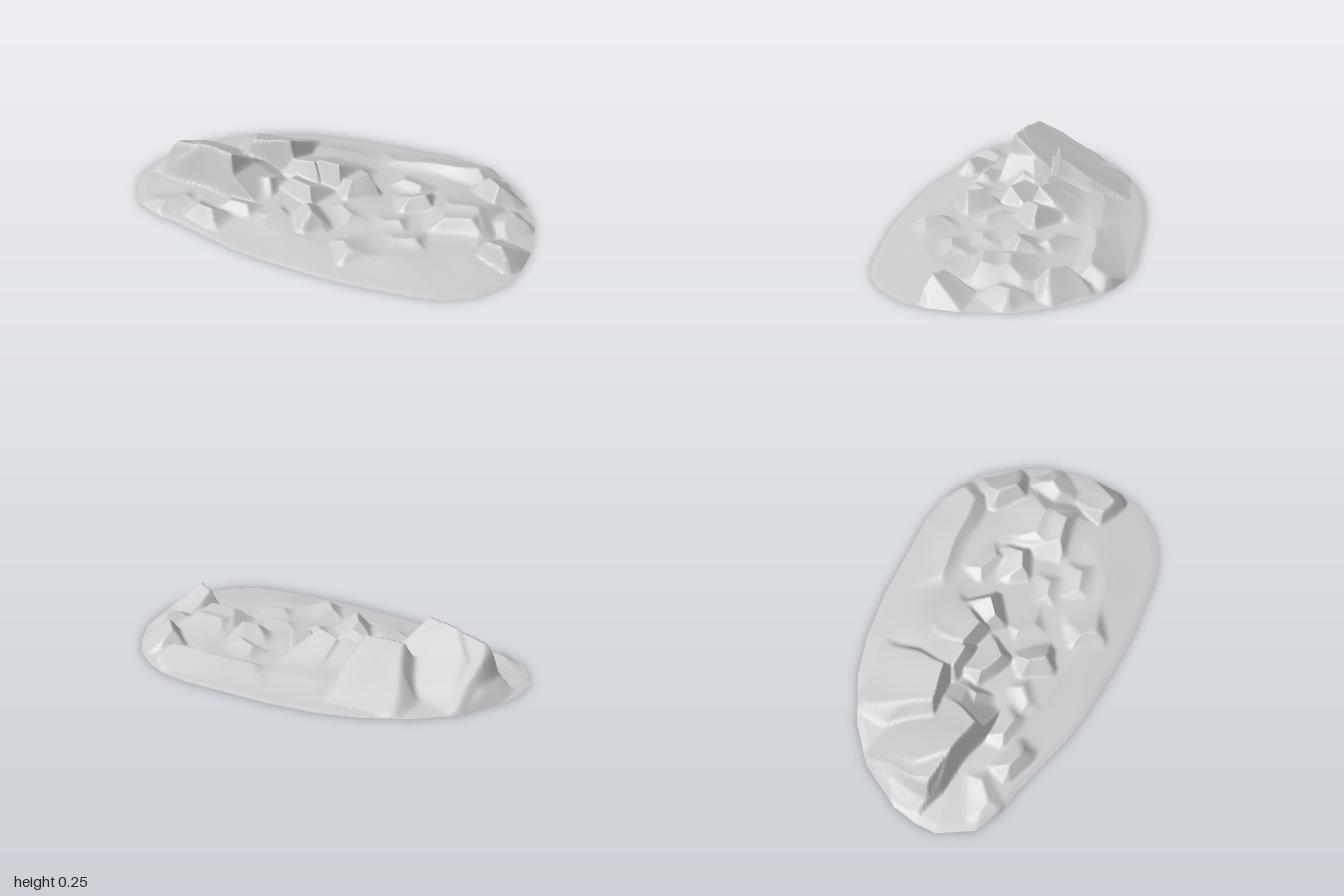
import * as THREE from 'three';

// Rim of the ground patch, as [x, z]
const RIM = [
  [1, 0.1], [0.99, 0.25], [0.955, 0.36], [0.85, 0.49], [0.73, 0.56], [0.6, 0.585], [0.3, 0.6],
  [0.14, 0.595], [-0.15, 0.565], [-0.3, 0.54], [-0.64, 0.43], [-0.78, 0.4], [-0.91, 0.33], [-1, 0.17],
  [-1, 0.06], [-0.975, -0.06], [-0.85, -0.28], [-0.68, -0.42], [-0.47, -0.525], [-0.27, -0.58],
  [-0.03, -0.605], [0.42, -0.605], [0.56, -0.58], [0.67, -0.53], [0.8, -0.43], [0.89, -0.3],
  [0.965, -0.15], [0.99, 0],
];

// Tilted slabs: crest from a to b as [x, z, height], steep front run, long back run, end runs
const SLABS = [
  { a: [-0.83, 0.05, 0.205], b: [-0.6, 0.105, 0.245], front: 0.045, back: 0.37, ends: [0.07, 0.3] },
  { a: [-0.65, 0.095, 0.24], b: [-0.49, 0.125, 0.25], front: 0.045, back: 0.37, ends: [0.3, 0.06] },
  { a: [-0.46, -0.11, 0.2], b: [-0.28, -0.13, 0.212], front: 0.05, back: 0.38, ends: [0.12, 0.04] },
  { a: [0.18, -0.39, 0.055], b: [0.6, -0.42, 0.08], front: 0.09, back: 0.16, ends: [0.14, 0.1] },
  { a: [0.58, 0.07, 0.09], b: [0.69, 0.06, 0.1], front: 0.07, back: 0.4, ends: [0.12, 0.12] },
  { a: [0.58, -0.06, 0.085], b: [0.7, -0.06, 0.095], front: 0.28, back: 0.2, ends: [0.12, 0.12] },
  { a: [0.82, 0.2, 0.1], b: [0.89, 0.23, 0.115], front: 0.04, back: 0.18, ends: [0.05, 0.08] },
  { a: [-0.07, 0.21, 0.11], b: [-0.02, 0.28, 0.12], front: 0.09, back: 0.12, ends: [0.1, 0.06] },
];

// Smaller stones: [x, z, crest length, height, front run, back run]
const STONES = [
  [-0.2, -0.1, 0.1, 0.145, 0.07, 0.32], [-0.07, -0.1, 0.1, 0.165, 0.06, 0.3],
  [0.1, -0.07, 0.06, 0.135, 0.09, 0.26], [-0.16, 0.05, 0.12, 0.12, 0.06, 0.2],
  [-0.36, 0.06, 0.06, 0.1, 0.13, 0.2], [0.41, -0.05, 0.06, 0.1, 0.07, 0.18],
  [0.72, -0.28, 0.05, 0.115, 0.08, 0.14], [0.86, -0.08, 0.04, 0.065, 0.1, 0.14],
  [-0.53, 0.36, 0.08, 0.085, 0.06, 0.12], [-0.4, 0.26, 0.08, 0.075, 0.07, 0.14],
  [-0.22, 0.26, 0.05, 0.065, 0.08, 0.12], [0.2, 0.4, 0.04, 0.07, 0.08, 0.2],
  [0.45, 0.25, 0.08, 0.06, 0.1, 0.16], [0.33, 0.13, 0.06, 0.055, 0.1, 0.14],
  [0.1, 0.12, 0.05, 0.06, 0.1, 0.14], [-0.72, 0.29, 0.08, 0.045, 0.08, 0.12],
  [0.33, -0.2, 0.08, 0.07, 0.09, 0.14],
];

const ROCKS = SLABS.concat(STONES.map(([x, z, w, h, front, back], i) => {
  const skew = 0.03 * Math.sin(i * 2.4);
  return {
    a: [x - w / 2, z - skew, h * 0.9], b: [x + w / 2, z + skew, h],
    front, back, ends: [0.09, 0.07],
  };
}));

// Height of one wedge-shaped rock at a ground point
function rockHeight({ a, b, front, back, ends }, x, z) {
  const dx = b[0] - a[0], dz = b[1] - a[1], len = Math.hypot(dx, dz);
  const along = ((x - a[0]) * dx + (z - a[1]) * dz) / len;
  const across = ((z - a[1]) * dx - (x - a[0]) * dz) / len;
  const h = THREE.MathUtils.lerp(a[2], b[2], THREE.MathUtils.clamp(along / len, 0, 1));
  const slope = across > 0 ? across / front : -across / back;
  // The ends fan out a little towards the back
  const flare = 0.2 * Math.max(0, -across);
  const end = Math.max(0, -along / (ends[0] + flare), (along - len) / (ends[1] + flare));
  return h * Math.min(1 - slope, 1.05 - end, 1.2 - 0.75 * (slope + end));
}

// Low swelling ground, easing down to the rim, with the rocks rising out of it
function groundHeight(x, z, t) {
  const inner = Math.min(1, (1 - t) / 0.34);
  const mound = 0.035 * Math.exp(-((x + 0.15) ** 2 + (z + 0.2) ** 2) / 0.07);
  const swell = 0.028 + 0.006 * Math.sin(9 * x + 2 * z) * Math.cos(11 * z - 3 * x);
  let y = (swell + mound) * inner;
  // A slight warp keeps crests and feet from running dead straight
  const wx = x + 0.006 * Math.sin(23 * z + 5 * x), wz = z + 0.006 * Math.sin(19 * x + 1);
  for (const rock of ROCKS) {
    const h = rockHeight(rock, wx, wz);
    // Soft maximum blends each foot into the ground
    const k = Math.max(0, 0.016 - Math.abs(h - y));
    y = Math.max(h, y) + (k * k) / 0.064 * inner;
  }
  return 0.004 * Math.min(1, (1 - t) * 25) + Math.min(y, 0.245, (1 - t) * 1.1);
}

// Rim resampled evenly along its straight edges
function sampleRim(steps) {
  const points = [];
  RIM.forEach(([x, z], i) => {
    const [nx, nz] = RIM[(i + 1) % RIM.length];
    for (let s = 0; s < steps; s++) {
      points.push([x + (nx - x) * s / steps, z + (nz - z) * s / steps]);
    }
  });
  return points;
}

// Concentric rings from the middle out to the rim
function terrainGeometry(rings, steps) {
  const rim = sampleRim(steps), n = rim.length;
  const positions = [0, groundHeight(0, 0, 0), 0], index = [];
  for (let r = 1; r <= rings; r++) {
    const t = r / rings;
    for (const [x, z] of rim) positions.push(x * t, groundHeight(x * t, z * t, t), z * t);
  }
  for (let i = 0; i < n; i++) {
    const j = (i + 1) % n;
    index.push(0, 1 + j, 1 + i);
    for (let r = 0; r < rings - 1; r++) {
      const p = 1 + r * n, q = p + n;
      index.push(p + i, p + j, q + i, p + j, q + j, q + i);
    }
  }
  const geometry = new THREE.BufferGeometry();
  geometry.setAttribute('position', new THREE.Float32BufferAttribute(positions, 3));
  geometry.setIndex(index);
  geometry.computeVertexNormals();
  return geometry;
}

export function createModel() {
  const group = new THREE.Group();
  group.name = 'rockyGroundPatch';
  const material = new THREE.MeshStandardMaterial({ color: 0xcccccc, side: THREE.DoubleSide });
  const terrain = new THREE.Mesh(terrainGeometry(130, 12), material);
  terrain.name = 'rockyGround';
  group.add(terrain);
  return group;
}
